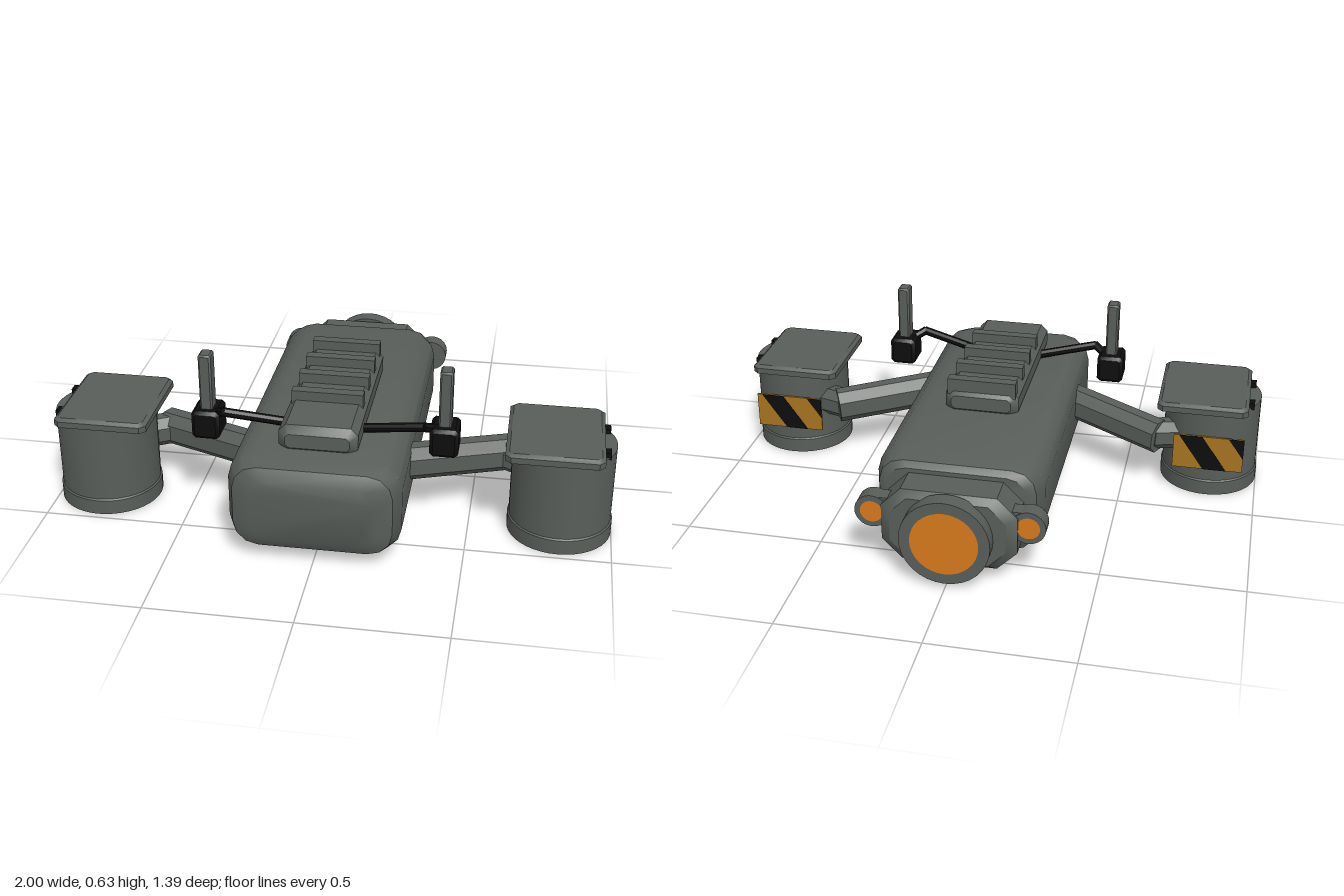
import * as THREE from 'three';
import { toCreasedNormals } from 'three/addons/utils/BufferGeometryUtils.js';

const material = (name, color) => {
  const m = new THREE.MeshStandardMaterial({ color });
  m.name = name;
  return m;
};

// Rounded rectangle outline, counter-clockwise
function roundedRing(hw, hh, r, steps) {
  const pts = [];
  [[1, 1], [-1, 1], [-1, -1], [1, -1]].forEach(([sx, sy], q) => {
    for (let i = 0; i <= steps; i++) {
      const a = (q + i / steps) * Math.PI / 2;
      pts.push([sx * (hw - r) + r * Math.cos(a), sy * (hh - r) + r * Math.sin(a)]);
    }
  });
  return pts;
}

// Skin over rounded rectangles [z, halfWidth, halfHeight, radius] in rising z
function loft(sections, steps = 2) {
  const pos = [], idx = [], n = 4 * (steps + 1);
  for (const [z, hw, hh, r] of sections)
    for (const [x, y] of roundedRing(hw, hh, r, steps)) pos.push(x, y, z);
  for (let i = 0; i < sections.length - 1; i++)
    for (let j = 0; j < n; j++) {
      const a = i * n + j, b = i * n + (j + 1) % n;
      idx.push(a, b, b + n, a, b + n, a + n);
    }
  const last = (sections.length - 1) * n;
  for (let j = 1; j < n - 1; j++) idx.push(0, j + 1, j, last, last + j, last + j + 1);
  const g = new THREE.BufferGeometry();
  g.setAttribute('position', new THREE.Float32BufferAttribute(pos, 3));
  g.setIndex(idx);
  return toCreasedNormals(g, 0.6);
}

// Box with chamfered edges
function chamferBox(w, h, d, c) {
  return loft([
    [-d / 2, w / 2 - c, h / 2 - c, c / 2], [-d / 2 + c, w / 2, h / 2, c],
    [d / 2 - c, w / 2, h / 2, c], [d / 2, w / 2 - c, h / 2 - c, c / 2],
  ], 1);
}

export function createModel() {
  const model = new THREE.Group();
  const grey = material('hull grey', 0x595e5a);
  const black = material('black', 0x0d0d0d);
  const orange = material('engine orange', 0xd87a1c);
  const amber = material('hazard amber', 0xa87420);
  const blue = material('thruster blue', 0x1c4658);

  const add = (name, geometry, mat, x = 0, y = 0, z = 0, parent = model) => {
    const m = new THREE.Mesh(geometry, mat);
    m.name = name;
    m.position.set(x, y, z);
    parent.add(m);
    return m;
  };

  // Beam between points, with a rounded rectangular section
  const beam = (name, a, b, w, h, mat) => {
    const A = new THREE.Vector3(...a), B = new THREE.Vector3(...b), L = A.distanceTo(B);
    const r = Math.min(w, h) * 0.3;
    const m = add(name, loft([[0, w / 2, h / 2, r], [L, w / 2, h / 2, r]], 1), mat, ...a);
    m.lookAt(B);
    return m;
  };

  // Hull
  add('hull', loft([
    [-0.51, 0.245, 0.135, 0.07], [-0.49, 0.275, 0.155, 0.085], [-0.43, 0.295, 0.165, 0.09],
    [0.61, 0.295, 0.165, 0.09], [0.67, 0.27, 0.15, 0.085], [0.697, 0.21, 0.11, 0.06],
  ], 3), grey, 0, 0.21, 0);
  add('bellySensor', chamferBox(0.11, 0.06, 0.11, 0.012), black, 0, 0.04, -0.33);

  // Rear engine mount and nozzle
  add('engineMount', loft([
    [-0.645, 0.2, 0.115, 0.06], [-0.62, 0.235, 0.137, 0.07], [-0.49, 0.235, 0.137, 0.07],
  ], 1), grey, 0, 0.192, 0);
  const nozzle = (name, r, glow, depth, x, y, back) => {
    const g = new THREE.CylinderGeometry(r, r, depth, 32).rotateX(Math.PI / 2);
    add(name, g, grey, x, y, back + depth / 2);
    add(name + 'Glow', new THREE.CircleGeometry(glow, 32).rotateY(Math.PI), orange, x, y, back - 0.002);
  };
  nozzle('mainNozzle', 0.157, 0.118, 0.06, 0, 0.178, -0.695);
  for (const s of [-1, 1]) {
    nozzle('sideNozzle', 0.06, 0.04, 0.06, s * 0.27, 0.225, -0.615);
    add('sideNozzleBracket', new THREE.BoxGeometry(0.06, 0.11, 0.055), grey, s * 0.235, 0.225, -0.584);
  }

  // Roof rail with ribs
  add('roofRail', chamferBox(0.27, 0.1, 0.67, 0.025), grey, 0, 0.407, 0.225);
  for (let i = 0; i < 4; i++)
    add('railRib', new THREE.BoxGeometry(0.25, 0.06, 0.038), grey, 0, 0.462, -0.078 + i * 0.139);

  for (const s of [-1, 1]) {
    // Cranked arm
    beam('armInner', [s * 0.22, 0.24, 0.36], [s * 0.63, 0.207, 0.155], 0.11, 0.125, grey);
    beam('armOuter', [s * 0.6, 0.21, 0.17], [s * 0.74, 0.2, 0.23], 0.1, 0.11, grey);

    // Antenna on a bent black stalk
    beam('stalkInner', [s * 0.1, 0.385, 0.392], [s * 0.345, 0.432, 0.438], 0.03, 0.03, black);
    beam('stalkOuter', [s * 0.34, 0.433, 0.44], [s * 0.41, 0.4, 0.38], 0.03, 0.03, black);
    add('antennaBase', chamferBox(0.098, 0.105, 0.12, 0.012), black, s * 0.412, 0.377, 0.392);
    add('antenna', chamferBox(0.044, 0.23, 0.058, 0.006), grey, s * 0.412, 0.517, 0.394);

    // Thruster pod
    const pod = new THREE.Group();
    pod.name = 'thrusterPod';
    pod.position.set(s * 0.817, 0, 0.297);
    model.add(pod);
    const profile = [[0, 0.001], [0.183, 0.001], [0.183, 0.055], [0.178, 0.06], [0.178, 0.345], [0, 0.345]]
      .map(([r, y]) => new THREE.Vector2(r, y));
    add('podBody', toCreasedNormals(new THREE.LatheGeometry(profile, 40), 0.6), grey, 0, 0, 0, pod);
    add('podLens', new THREE.CircleGeometry(0.11, 32).rotateX(Math.PI / 2), blue, 0, -0.001, 0, pod);
    add('podCap', loft([
      [0.33, 0.14, 0.165, 0.02], [0.345, 0.166, 0.196, 0.02],
      [0.367, 0.166, 0.196, 0.02], [0.378, 0.153, 0.183, 0.015],
    ], 1).rotateX(-Math.PI / 2), grey, -s * 0.031, 0, -0.009, pod);

    // Cap clips on the outer edge
    for (const z of [-0.09, 0.08])
      add('capClip', new THREE.BoxGeometry(0.035, 0.025, 0.035), black, s * 0.137, 0.35, z, pod);

    // Striped hazard plate facing back
    add('hazardPlate', new THREE.BoxGeometry(0.26, 0.135, 0.008), amber, 0, 0.178, -0.182, pod);
    const stripes = [
      [[-0.07, -0.0675], [0.015, -0.0675], [0.11, 0.0675], [0.025, 0.0675]],
      [[-0.13, -0.0125], [-0.073, 0.0675], [-0.13, 0.0675]],
    ];
    for (const pts of stripes) {
      const shape = new THREE.Shape(pts.map(p => new THREE.Vector2(...p)));
      add('hazardStripe', new THREE.ExtrudeGeometry(shape, { depth: 0.003, bevelEnabled: false }),
        black, 0, 0.178, -0.188, pod);
    }
  }
  return model;
}
